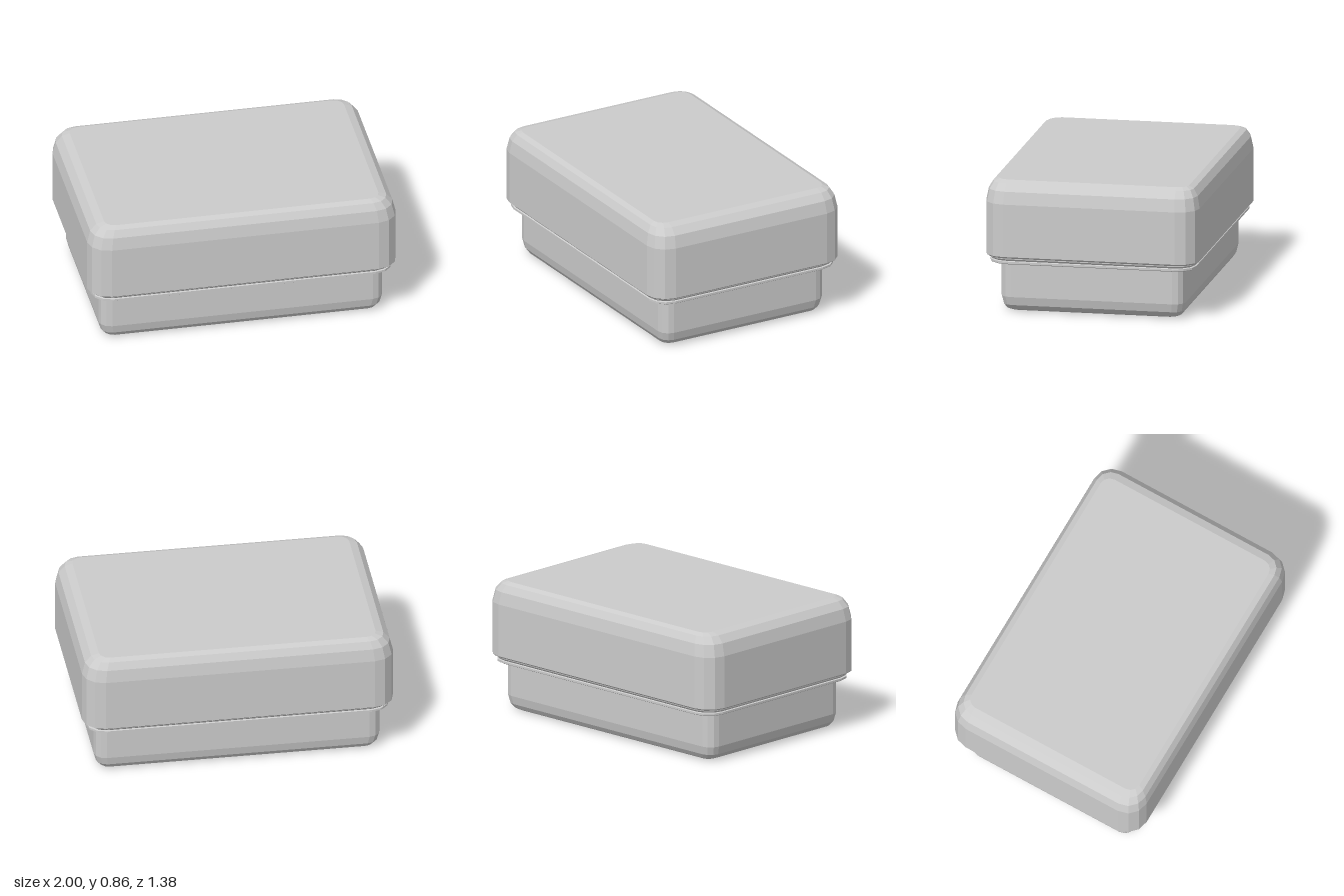
import * as THREE from 'three';

const SEGMENTS = 3; // facets per rounded corner

// Outline of a rounded rectangle at height y, running from +x towards +z
function ring([y, hx, hz, r]) {
  const points = [];
  for (let q = 0; q < 4; q++) {
    const sx = q === 0 || q === 3 ? 1 : -1;
    const sz = q < 2 ? 1 : -1;
    for (let i = 0; i <= SEGMENTS; i++) {
      const a = (q + i / SEGMENTS) * Math.PI / 2;
      points.push([sx * (hx - r) + r * Math.cos(a), y, sz * (hz - r) + r * Math.sin(a)]);
    }
  }
  return points;
}

// Closed solid through a stack of rounded rectangles, listed bottom to top
function loft(name, sections, material) {
  const n = 4 * (SEGMENTS + 1);
  const positions = sections.flatMap(s => ring(s).flat());
  const index = [];
  for (let k = 0; k < sections.length - 1; k++) {
    for (let i = 0; i < n; i++) {
      const a = k * n + i, b = k * n + (i + 1) % n;
      index.push(a, a + n, b, b, a + n, b + n);
    }
  }
  const top = (sections.length - 1) * n;
  for (let i = 1; i < n - 1; i++) {
    index.push(0, i, i + 1, top, top + i + 1, top + i);
  }
  const geometry = new THREE.BufferGeometry();
  geometry.setAttribute('position', new THREE.Float32BufferAttribute(positions, 3));
  geometry.setIndex(index);
  geometry.computeVertexNormals();
  const mesh = new THREE.Mesh(geometry, material);
  mesh.name = name;
  return mesh;
}

export function createModel() {
  const group = new THREE.Group();
  group.name = 'lidded box';
  const material = new THREE.MeshStandardMaterial({ color: 0xcccccc, flatShading: true });

  // Sections are [height, half width, half depth, corner radius]
  group.add(loft('base', [
    [0, 0.84, 0.535, 0.045],
    [0.015, 0.88, 0.565, 0.06],
    [0.045, 0.905, 0.585, 0.07],
    [0.1, 0.92, 0.597, 0.075],
    [0.335, 0.92, 0.597, 0.075],
  ], material));

  // Stepped rim between base and lid
  group.add(loft('rim', [
    [0.325, 0.968, 0.66, 0.12],
    [0.33, 0.975, 0.668, 0.125],
    [0.343, 0.975, 0.668, 0.125],
    [0.346, 0.965, 0.658, 0.12],
    [0.358, 0.975, 0.668, 0.125],
    [0.372, 0.975, 0.668, 0.125],
  ], material));

  // Deep lid with a rounded top edge
  group.add(loft('lid', [
    [0.366, 0.985, 0.678, 0.125],
    [0.378, 1, 0.692, 0.135],
    [0.72, 1, 0.692, 0.135],
    [0.8, 0.98, 0.677, 0.125],
    [0.845, 0.94, 0.65, 0.1],
    [0.86, 0.89, 0.615, 0.065],
  ], material));

  return group;
}
